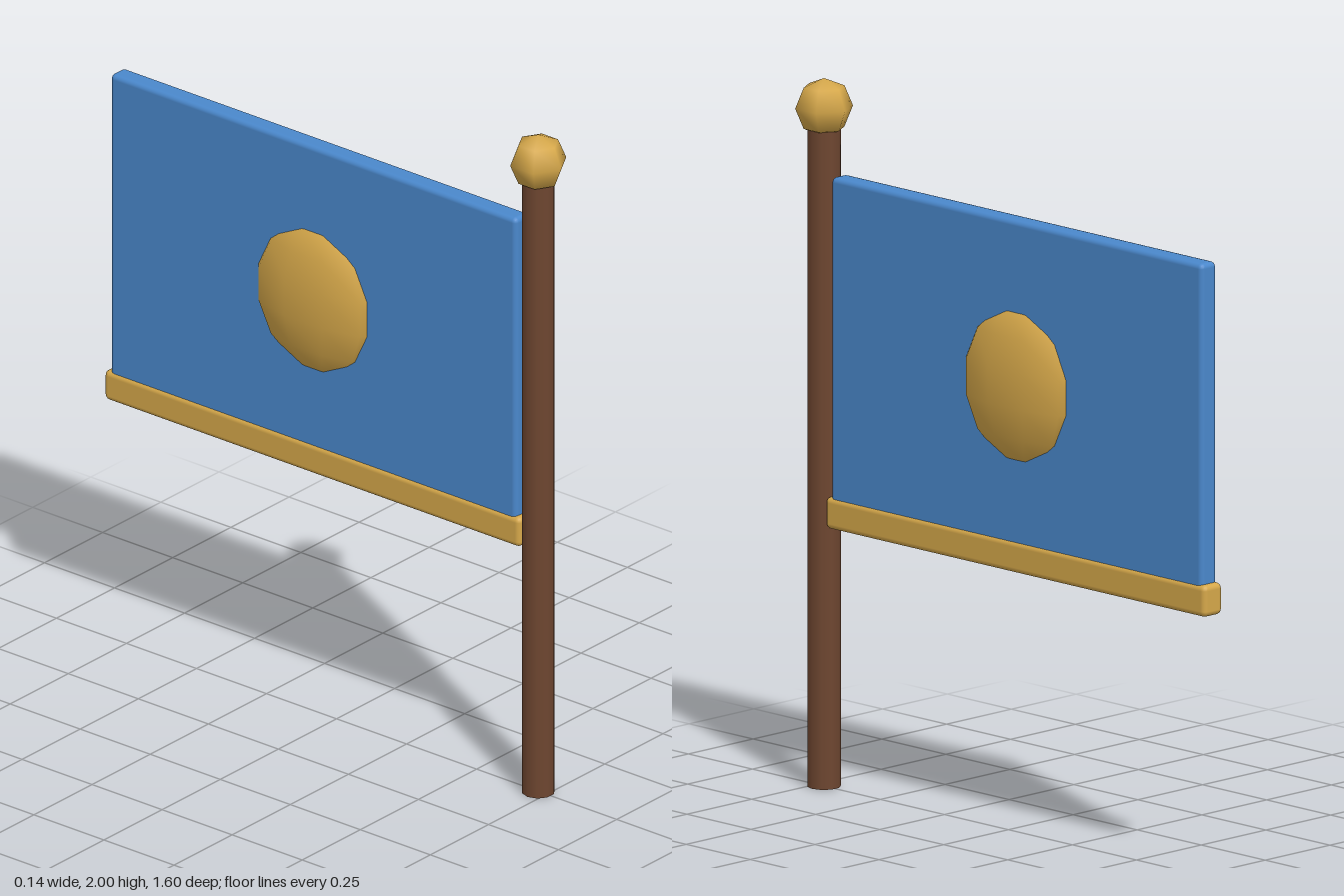
import * as THREE from 'three';
import { RoundedBoxGeometry } from 'three/addons/geometries/RoundedBoxGeometry.js';

function material(name, color) {
  const m = new THREE.MeshStandardMaterial({ color });
  m.name = name;
  return m;
}

export function createModel() {
  const group = new THREE.Group();
  group.name = 'bannerOnPole';

  const wood = material('brown wood', 0x6e4630);
  const cloth = material('blue cloth', 0x4a88cc);
  const gold = material('gold', 0xd6a84a);

  const poleZ = 0.72;
  const flagZ = -0.06;

  function add(name, geometry, mat, y, z) {
    const mesh = new THREE.Mesh(geometry, mat);
    mesh.name = name;
    mesh.position.set(0, y, z);
    group.add(mesh);
    return mesh;
  }

  // Ten-sided pole with a faceted ball on top
  add('pole', new THREE.CylinderGeometry(0.0465, 0.0465, 1.88, 10).rotateY(Math.PI / 2), wood, 0.94, poleZ);
  add('finial', new THREE.SphereGeometry(0.082, 6, 4).rotateY(Math.PI / 2), gold, 1.918, poleZ);

  // Flag panel with a trim bar along its lower edge
  add('flag', new RoundedBoxGeometry(0.06, 0.935, 1.45, 2, 0.015), cloth, 1.2675, flagZ);
  add('trim', new RoundedBoxGeometry(0.072, 0.09, 1.485, 2, 0.016), gold, 0.785, flagZ);

  // Flattened ball through the panel forms a disc on both sides
  const disc = new THREE.SphereGeometry(1, 10, 7).rotateY(Math.PI / 2).scale(0.0777, 0.229, 0.229);
  disc.computeVertexNormals();
  // Weld the shading across the sphere seam by using the ellipsoid normal
  const p = disc.attributes.position;
  const n = new THREE.Vector3();
  for (let i = 0; i < p.count; i++) {
    n.set(p.getX(i) / 0.0777 ** 2, p.getY(i) / 0.229 ** 2, p.getZ(i) / 0.229 ** 2).normalize();
    disc.attributes.normal.setXYZ(i, n.x, n.y, n.z);
  }
  add('emblemDisc', disc, gold, 1.2675, flagZ);

  return group;
}
